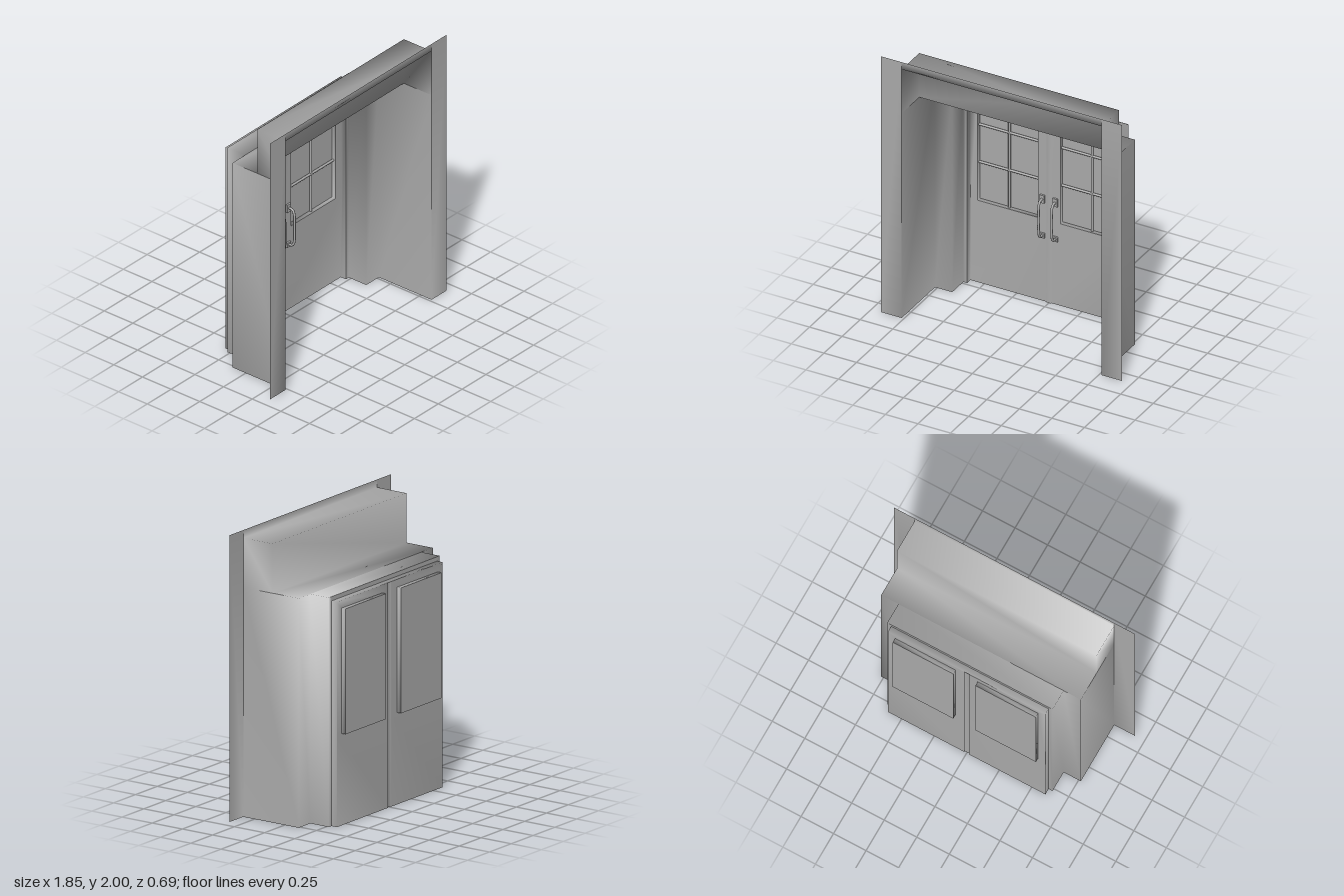
import * as THREE from 'three';
import { mergeVertices } from 'three/addons/utils/BufferGeometryUtils.js';

const grey = new THREE.MeshStandardMaterial({ color: 0xaaaaaa, side: THREE.DoubleSide });
grey.name = 'plain grey';

// Collects quads (corners anticlockwise) into one smooth open shell
class Shell {
  constructor() { this.p = []; }
  quad(a, b, c, d) {
    this.p.push(...a, ...b, ...c, ...a, ...c, ...d);
  }
  // the same quad on both sides of x = 0
  pair(a, b, c, d) {
    const m = ([x, y, z]) => [-x, y, z];
    this.quad(a, b, c, d);
    this.quad(m(b), m(a), m(d), m(c));
  }
  // upright strip from plan point p to plan point q
  wall(p, q, y0, y1) {
    this.pair([q[0], y0, q[1]], [p[0], y0, p[1]], [p[0], y1, p[1]], [q[0], y1, q[1]]);
  }
  // full-width face towards the front
  face(x, y0, y1, z) {
    this.quad([-x, y0, z], [x, y0, z], [x, y1, z], [-x, y1, z]);
  }
  // full-width soffit facing down
  soffit(x, y, back, front) {
    this.quad([-x, y, back], [x, y, back], [x, y, front], [-x, y, front]);
  }
  mesh(name) {
    let g = new THREE.BufferGeometry();
    g.setAttribute('position', new THREE.Float32BufferAttribute(this.p, 3));
    g = mergeVertices(g, 1e-4);
    g.computeVertexNormals();
    const m = new THREE.Mesh(g, grey);
    m.name = name;
    return m;
  }
}

// Depths
const F = 0.345, HEAD = 0.103, STEP = -0.115, FRAME = -0.268, DOOR = -0.313, PANE = -0.345;
// Door and glazing limits
const X0 = 0.018, X1 = 0.605, TOP = 1.57;
const GX0 = 0.085, GX1 = 0.55, GY0 = 0.64, GY1 = 1.515;

function surround() {
  const s = new Shell();
  const plan = [[0.925, F], [0.767, F], [0.767, STEP], [0.635, STEP], [0.635, FRAME], [X1, FRAME]];
  for (let i = 0; i < plan.length - 1; i++) s.wall(plan[i], plan[i + 1], 0, i === 0 ? 2 : 1.6);
  // upper reveal, top band, stepped head
  s.wall([0.767, F], [0.767, HEAD], 1.6, 1.945);
  s.face(0.767, 1.945, 2, F);
  s.soffit(0.767, 1.945, HEAD, F);
  s.face(0.767, 1.6, 1.945, HEAD);
  s.soffit(0.767, 1.6, STEP, HEAD);
  s.soffit(0.635, 1.6, FRAME, STEP);
  s.face(X1, TOP, 1.6, FRAME);
  return s.mesh('surround');
}

function doors() {
  const s = new Shell();
  const at = (x, y, z = DOOR) => [x, y, z];
  s.wall([X1, FRAME], [X1, DOOR], 0, TOP);
  s.soffit(X1, TOP, DOOR, FRAME);
  // lower panel, stiles and mitred top rail
  s.pair(at(X0, 0), at(X1, 0), at(X1, GY0), at(X0, GY0));
  s.pair(at(X0, GY0), at(GX0, GY0), at(GX0, GY1), at(X0, TOP));
  s.pair(at(GX1, GY0), at(X1, GY0), at(X1, TOP), at(GX1, GY1));
  s.pair(at(GX0, GY1), at(GX1, GY1), at(X1, TOP), at(X0, TOP));
  // meeting strip
  s.wall([X0, DOOR], [X0, DOOR + 0.007], 0, TOP);
  s.face(X0, 0, TOP, DOOR + 0.007);
  return s.mesh('doors');
}

function glazingRecess() {
  const s = new Shell();
  const ring = [[GX0, GY0], [GX1, GY0], [GX1, GY1], [GX0, GY1]];
  ring.forEach((a, i) => {
    const b = ring[(i + 1) % 4];
    s.pair([...a, DOOR], [...a, PANE], [...b, PANE], [...b, DOOR]);
  });
  return s.mesh('glazingRecess');
}

function panes() {
  const s = new Shell();
  s.pair([GX0, GY0, PANE], [GX1, GY0, PANE], [GX1, GY1, PANE], [GX0, GY1, PANE]);
  return s.mesh('panes');
}

function rod(a, b, r, name) {
  const curve = new THREE.LineCurve3(new THREE.Vector3(...a), new THREE.Vector3(...b));
  const m = new THREE.Mesh(new THREE.TubeGeometry(curve, 1, r, 8), grey);
  m.name = name;
  return m;
}

function glazingBars(s) {
  const g = new THREE.Group();
  g.name = 'glazingBars';
  const z = DOOR - 0.022;
  const xm = s * (GX0 + GX1) / 2;
  g.add(rod([xm, GY0, z], [xm, GY1, z], 0.009, 'uprightBar'));
  for (const y of [0.932, 1.225]) g.add(rod([s * GX0, y, z], [s * GX1, y, z], 0.009, 'crossBar'));
  return g;
}

function handle(s) {
  const g = new THREE.Group();
  g.name = 'handle';
  const x = s * 0.05;
  // mounting plates
  for (const [y, h] of [[0.8, 0.06], [0.515, 0.035]]) {
    const plate = new THREE.Mesh(new THREE.BoxGeometry(0.036, h, 0.014), grey);
    plate.name = 'handlePlate';
    plate.position.set(x, y, DOOR + 0.007);
    g.add(plate);
  }
  // bowed grip
  const path = new THREE.CatmullRomCurve3([
    [0.8, 0.005], [0.798, 0.04], [0.77, 0.055], [0.66, 0.058], [0.55, 0.055], [0.52, 0.04], [0.515, 0.005],
  ].map(([y, z]) => new THREE.Vector3(x, y, DOOR + z)));
  const grip = new THREE.Mesh(new THREE.TubeGeometry(path, 24, 0.009, 8), grey);
  grip.name = 'handleGrip';
  g.add(grip);
  return g;
}

export function createModel() {
  const model = new THREE.Group();
  model.name = 'doubleDoorEntrance';
  model.add(surround(), doors(), glazingRecess(), panes());
  for (const s of [-1, 1]) model.add(glazingBars(s), handle(s));
  return model;
}
